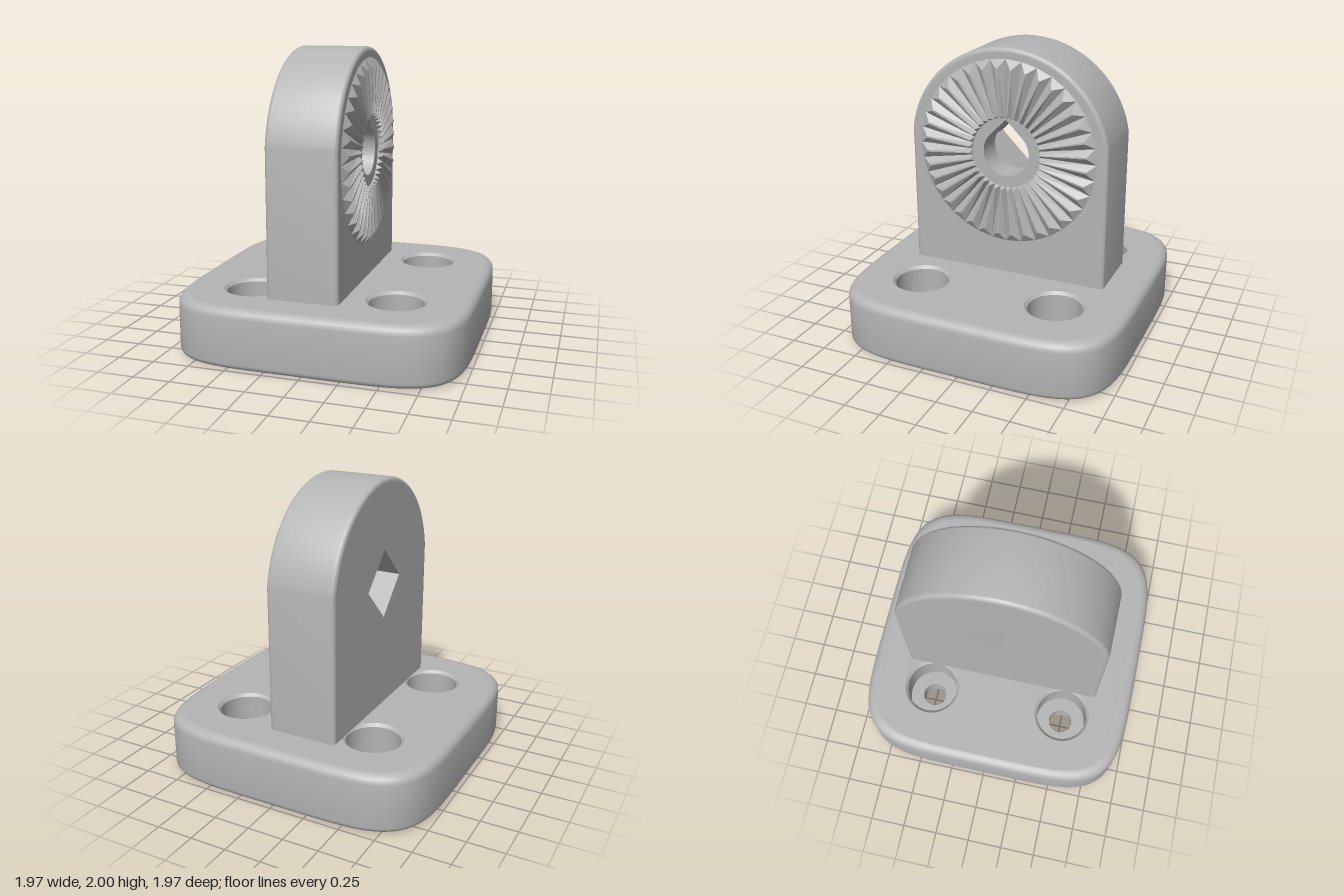
import * as THREE from 'three';
import { mergeGeometries, toCreasedNormals } from 'three/addons/utils/BufferGeometryUtils.js';

const V2 = (x, y) => new THREE.Vector2(x, y);

// Skin between closed loops [{pts, w}]; counter-clockwise loops with rising w face outward.
function loft(rings) {
  const pos = [];
  for (let i = 0; i < rings.length - 1; i++) {
    const lo = rings[i], hi = rings[i + 1], n = lo.pts.length;
    for (let j = 0; j < n; j++) {
      const k = (j + 1) % n;
      const a = [lo.pts[j].x, lo.pts[j].y, lo.w], b = [lo.pts[k].x, lo.pts[k].y, lo.w];
      const c = [hi.pts[k].x, hi.pts[k].y, hi.w], d = [hi.pts[j].x, hi.pts[j].y, hi.w];
      pos.push(...a, ...b, ...c, ...a, ...c, ...d);
    }
  }
  return toCreasedNormals(fromPositions(pos), 0.5);
}

function fromPositions(pos) {
  const g = new THREE.BufferGeometry();
  g.setAttribute('position', new THREE.Float32BufferAttribute(pos, 3));
  g.computeVertexNormals();
  return g;
}

// Flat face with holes at height w, facing up or down the w axis.
function cap(outline, holes, w, up) {
  const shape = new THREE.Shape(outline);
  holes.forEach((h) => shape.holes.push(new THREE.Path(h)));
  const g = new THREE.ShapeGeometry(shape);
  if (!up) g.index.array.reverse();
  const flat = g.toNonIndexed();
  flat.deleteAttribute('uv');
  flat.translate(0, 0, w);
  flat.computeVertexNormals();
  return flat;
}

// Outer wall with rounded bottom and top edges.
function roundedWall(outline, w0, w1, r0, r1, steps = 5) {
  const rings = [];
  for (let i = 0; i <= steps; i++) {
    const t = (i / steps) * Math.PI / 2;
    rings.push({ pts: outline(r0 * (1 - Math.sin(t))), w: w0 + r0 * (1 - Math.cos(t)) });
  }
  for (let i = 0; i <= steps; i++) {
    const t = (i / steps) * Math.PI / 2;
    rings.push({ pts: outline(r1 * (1 - Math.cos(t))), w: w1 - r1 * (1 - Math.sin(t)) });
  }
  return loft(rings);
}

function arc(cx, cy, r, a0, a1, n) {
  return Array.from({ length: n + 1 }, (_, i) => {
    const a = a0 + (a1 - a0) * i / n;
    return V2(cx + r * Math.cos(a), cy + r * Math.sin(a));
  });
}
const circle = (cx, cy, r, n = 40) => arc(cx, cy, r, 0, Math.PI * 2, n).slice(0, n);

// Base plate: soft square with four counterbored screw holes
function baseGeometry() {
  const H = 0.4, floor = 0.15, e = 2 / 5;
  const power = (v) => Math.sign(v) * Math.pow(Math.abs(v), e);
  const outline = (inset) => Array.from({ length: 120 }, (_, i) => {
    const a = (i + 0.5) / 120 * Math.PI * 2, s = 0.985 - inset;
    return V2(s * power(Math.cos(a)), s * power(Math.sin(a)));
  });
  const parts = [roundedWall(outline, 0, H, 0.04, 0.06)];
  const rims = [], drills = [];
  for (const x of [-0.495, 0.495]) for (const z of [-0.495, 0.495]) {
    const ring = (r, w) => ({ pts: circle(x, z, r), w });
    rims.push(circle(x, z, 0.203));
    drills.push(circle(x, z, 0.086));
    parts.push(loft([ring(0.203, H), ring(0.183, H - 0.02), ring(0.183, floor),
      ring(0.086, floor), ring(0.086, 0)]));
  }
  parts.push(cap(outline(0.06), rims, H, true), cap(outline(0.04), drills, 0, false));
  return mergeGeometries(parts).rotateX(-Math.PI / 2);
}

const BACK = -0.32, FACE = 0.165, AXIS = 1.285;

// Upright: arched block with a teardrop bore and a square nut pocket behind
function uprightGeometry() {
  const bevel = 0.028, shelf = -0.02, r = 0.165, s = 0.24;
  const outline = (inset) => {
    const h = 0.715 - inset, R = 0.724 - inset, t = Math.acos(h / R);
    return [V2(h, 0.4), ...arc(0, 1.276, R, t, Math.PI - t, 56), V2(-h, 0.4)];
  };
  const bore = [...arc(0, AXIS, r, Math.PI * 0.75, Math.PI * 2.25, 36), V2(0, AXIS + r * Math.SQRT2)];
  const pocket = circle(0, AXIS, s, 4);
  return mergeGeometries([
    roundedWall(outline, BACK, FACE, bevel, bevel),
    cap(outline(bevel), [bore], FACE, true),
    cap(outline(bevel), [pocket], BACK, false),
    loft([{ pts: bore, w: FACE }, { pts: bore, w: shelf }]),
    loft([{ pts: pocket, w: shelf }, { pts: pocket, w: BACK }]),
    cap(pocket, [bore], shelf, false),
  ]).rotateY(Math.PI / 2);
}

// Locking rosette: ring of radial ridges with sloped ends
function rosetteGeometry(count = 36) {
  const pos = [], half = Math.PI / count, top = half * 0.12;
  const P = (r, a, w) => [r * Math.cos(a), AXIS + r * Math.sin(a), FACE + w];
  const quad = (a, b, c, d) => pos.push(...a, ...b, ...c, ...a, ...c, ...d);
  for (let i = 0; i < count; i++) {
    const c = (2 * i + 1) * half;
    const [a0, a1] = [-half, half].map((d) => P(0.245, c + d, 0));
    const [b0, b1] = [-half, half].map((d) => P(0.642, c + d, 0));
    const [c0, c1] = [-top, top].map((d) => P(0.26, c + d, 0.036));
    const [d0, d1] = [-top, top].map((d) => P(0.585, c + d, 0.036));
    quad(c0, d0, d1, c1);
    quad(a0, b0, d0, c0);
    quad(c1, d1, b1, a1);
    quad(d0, b0, b1, d1);
    quad(a0, c0, c1, a1);
  }
  return fromPositions(pos).rotateY(Math.PI / 2);
}

export function createModel() {
  const grey = new THREE.MeshStandardMaterial({ color: 0xb4b4b4 });
  grey.name = 'grey plastic';
  const group = new THREE.Group();
  group.name = 'rosetteMount';
  const parts = { basePlate: baseGeometry(), upright: uprightGeometry(), rosetteTeeth: rosetteGeometry() };
  for (const [name, geometry] of Object.entries(parts)) {
    const mesh = new THREE.Mesh(geometry, grey);
    mesh.name = name;
    group.add(mesh);
  }
  return group;
}
